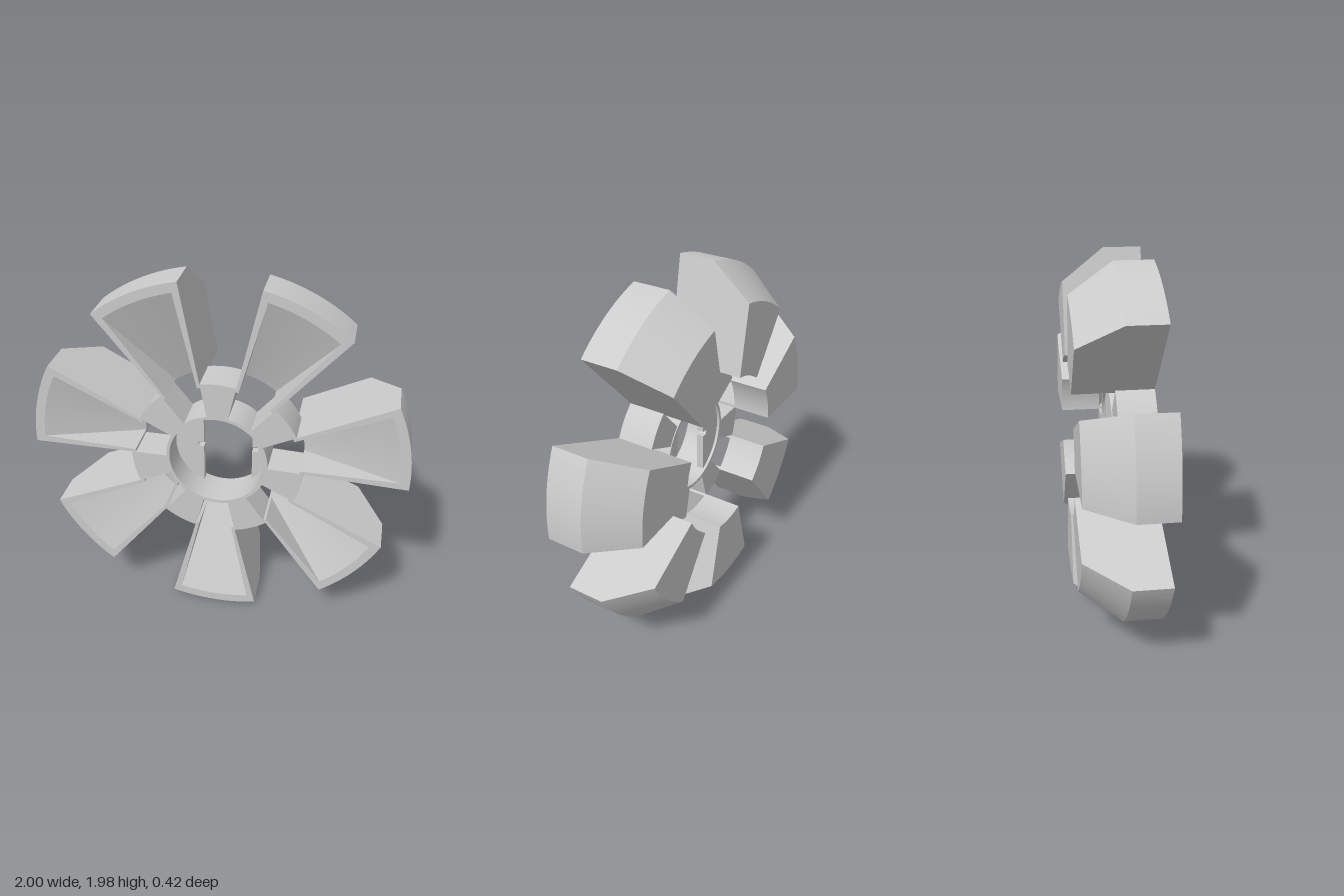
import * as THREE from 'three';
import { toCreasedNormals } from 'three/addons/utils/BufferGeometryUtils.js';

const material = new THREE.MeshStandardMaterial({ color: 0xcccccc });
const BLADES = 7;
const STEP = (Math.PI * 2) / BLADES;
const HALF = THREE.MathUtils.degToRad(14);
const FIRST = THREE.MathUtils.degToRad(-91.2);

function addMesh(parent, name, geometry) {
  const mesh = new THREE.Mesh(geometry, material);
  mesh.name = name;
  parent.add(mesh);
  return mesh;
}

// Closed solid: a counter-clockwise (radius, z) profile swept from angle a0 to a1
function sweep(profile, a0, a1, steps) {
  const shape = new THREE.Shape(profile.map(([r, z]) => new THREE.Vector2(r, z)));
  const geometry = new THREE.ExtrudeGeometry(shape, { depth: a1 - a0, steps, bevelEnabled: false });
  const p = geometry.attributes.position;
  for (let i = 0; i < p.count; i++) {
    const r = p.getX(i), z = p.getY(i), a = a1 - p.getZ(i);
    p.setXYZ(i, r * Math.cos(a), r * Math.sin(a), z);
  }
  geometry.deleteAttribute('normal');
  return toCreasedNormals(geometry, 0.35);
}

// Half-moon plate inside the bore, with a small round notch in its straight edge
function plateGeometry(edge, radius) {
  const a = Math.acos(edge / radius);
  const h = Math.sin(a) * radius;
  const notch = 0.015;
  const shape = new THREE.Shape();
  shape.moveTo(edge, -h);
  shape.absarc(0, 0, radius, -a, a, false);
  shape.lineTo(edge, notch);
  shape.lineTo(edge + 0.02, notch);
  shape.absarc(edge + 0.02, 0, notch, Math.PI / 2, -Math.PI / 2, true);
  shape.lineTo(edge, -notch);
  shape.closePath();
  return new THREE.ExtrudeGeometry(shape, { depth: 0.04, bevelEnabled: false, curveSegments: 24 });
}

export function createModel() {
  const model = new THREE.Group();
  model.name = 'bladedWheel';
  const wheel = new THREE.Group();
  wheel.name = 'wheel';
  wheel.position.y = 1;
  model.add(wheel);

  // Blade sections: a sloping hollow front between two flat-fronted side walls
  const back = [[0.44, -0.21], [0.83, -0.21], [1, 0.01], [1, 0.21]];
  const bodyProfile = [...back, [0.95, 0.21], [0.44, 0.01]];
  const wallProfile = [...back, [0.44, 0.21]];
  const wall = THREE.MathUtils.degToRad(2.2);
  const spokeProfile = [[0.26, 0.01], [0.46, 0.01], [0.46, 0.21], [0.26, 0.21]];

  const bodyGeometry = sweep(bodyProfile, -HALF + wall, HALF - wall, 12);
  const wallGeometries = [
    sweep(wallProfile, -HALF, -HALF + wall, 1),
    sweep(wallProfile, HALF - wall, HALF, 1),
  ];
  const spokeGeometry = sweep(spokeProfile, HALF, STEP - HALF, 8);

  for (let i = 0; i < BLADES; i++) {
    const blade = new THREE.Group();
    blade.name = 'blade';
    blade.rotation.z = FIRST + i * STEP;
    addMesh(blade, 'bladeBody', bodyGeometry);
    for (const g of wallGeometries) addMesh(blade, 'bladeSideWall', g);
    // Ring segment joining this blade to the next
    addMesh(blade, 'ringSegment', spokeGeometry);
    wheel.add(blade);
  }

  // Hub sleeve around the bore
  const sleeve = [[0.255, 0.005], [0.272, 0.005], [0.272, 0.21], [0.255, 0.21]];
  addMesh(wheel, 'hubSleeve', sweep(sleeve, 0, Math.PI * 2, 64));

  // Two unequal plates closing the sides of the bore
  const leftPlate = addMesh(wheel, 'leftBorePlate', plateGeometry(0.165, 0.26));
  leftPlate.position.z = 0.02;
  const rightPlate = addMesh(wheel, 'rightBorePlate', plateGeometry(0.1, 0.26));
  rightPlate.rotation.z = Math.PI;
  rightPlate.position.z = 0.02;

  return model;
}
